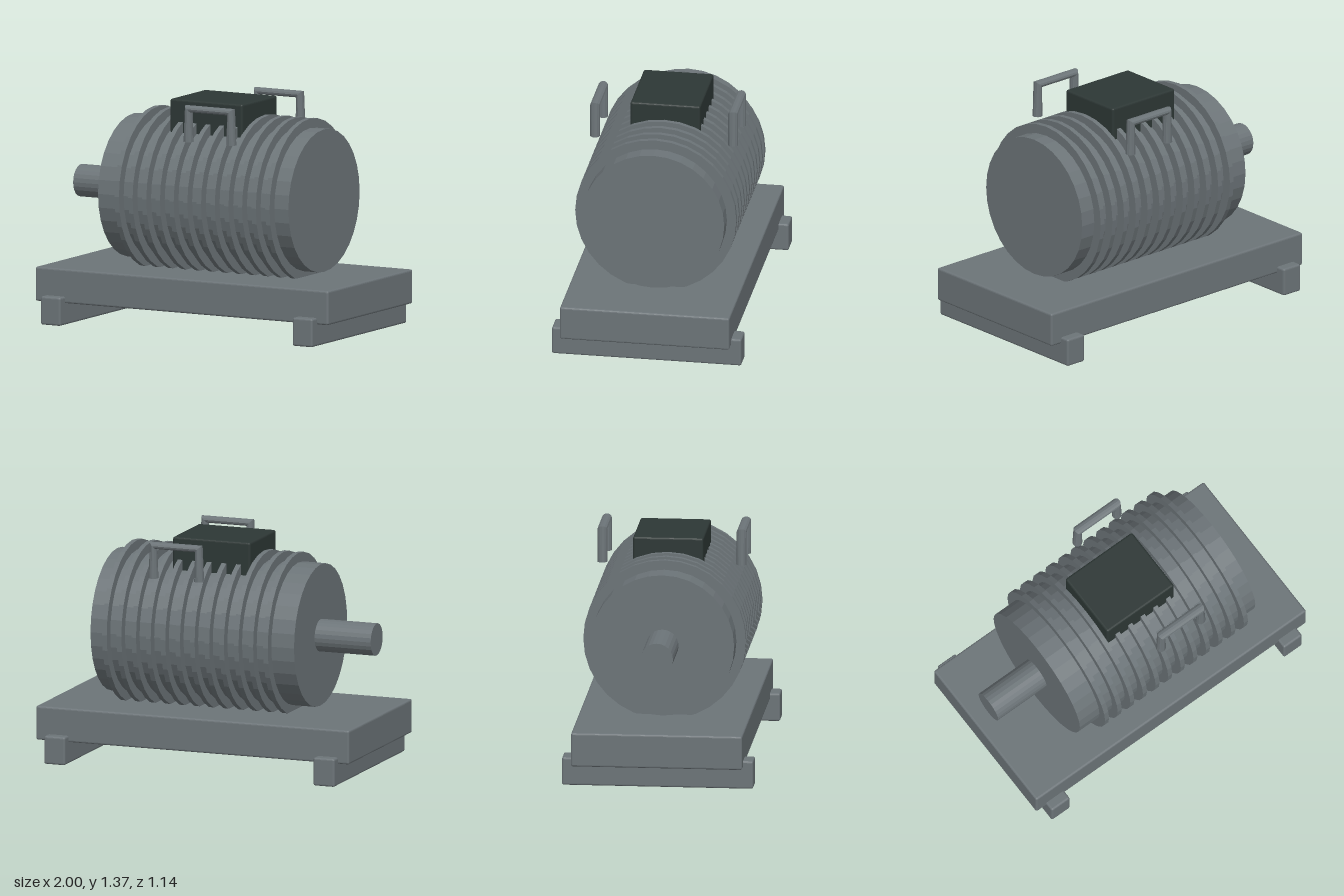
import * as THREE from 'three';
import { RoundedBoxGeometry } from 'three/addons/geometries/RoundedBoxGeometry.js';

const AXIS_Y = 0.79; // height of the motor axis

export function createModel() {
  const group = new THREE.Group();
  group.name = 'electricMotor';

  const steel = new THREE.MeshStandardMaterial({ color: 0x6c7478, flatShading: true });
  steel.name = 'steel grey';
  const dark = new THREE.MeshStandardMaterial({ color: 0x2d3735, flatShading: true });
  dark.name = 'dark green grey';

  function add(name, geometry, material, x, y, z) {
    const mesh = new THREE.Mesh(geometry, material);
    mesh.name = name;
    mesh.position.set(x, y, z);
    group.add(mesh);
    return mesh;
  }

  // Box with softened edges, given by its limits
  function box(name, x0, x1, y0, y1, halfZ, material) {
    const geometry = new RoundedBoxGeometry(x1 - x0, y1 - y0, halfZ * 2, 2, 0.012);
    add(name, geometry, material, (x0 + x1) / 2, (y0 + y1) / 2, 0);
  }

  // Cylinder lying along x on the motor axis
  function drum(name, x0, x1, radius, sides) {
    const geometry = new THREE.CylinderGeometry(radius, radius, x1 - x0, sides);
    geometry.rotateZ(Math.PI / 2);
    add(name, geometry, steel, (x0 + x1) / 2, AXIS_Y, 0);
  }

  // Base plate on two cross rails
  box('basePlate', -1, 1, 0.13, 0.335, 0.51, steel);
  box('leftRail', 0.79, 0.925, 0, 0.17, 0.57, steel);
  box('rightRail', -0.93, -0.795, 0, 0.17, 0.57, steel);

  // Motor housing, shaft and cooling fins
  drum('housing', -0.617, 0.683, 0.428, 32);
  drum('shaft', -0.975, -0.6, 0.097, 24);
  for (let i = 0; i < 12; i++) {
    const x = -0.457 + i * 0.0935;
    drum('coolingFin', x - 0.015, x + 0.015, 0.485, 32);
  }

  // Terminal box on top
  box('terminalBox', -0.25, 0.245, 1.15, 1.36, 0.21, dark);

  // Lifting handles
  const handle = handleGeometry();
  add('frontHandle', handle, steel, 0.14, 0, 0.415);
  add('backHandle', handle, steel, 0.14, 0, -0.415);

  return group;
}

// Round bar swept along a square arch; corner rings lie on the bisector
function handleGeometry() {
  const sides = 12, radius = 0.03;
  const d = Math.SQRT1_2;
  // x, y of the ring centre, then the in-plane direction of the ring
  const stations = [
    [-0.146, 1.147, -1, 0],
    [-0.144, 1.345, -d, d],
    [0.144, 1.345, d, d],
    [0.146, 1.147, 1, 0],
  ];
  const positions = [], index = [];
  for (const [x, y, nx, ny] of stations) {
    for (let j = 0; j < sides; j++) {
      const a = (j / sides) * Math.PI * 2;
      const c = Math.cos(a) * radius;
      positions.push(x + nx * c, y + ny * c, Math.sin(a) * radius);
    }
  }
  const last = (stations.length - 1) * sides;
  for (let j = 0; j < sides; j++) {
    const k = (j + 1) % sides;
    for (let i = 0; i < last; i += sides) {
      index.push(i + j, i + k, i + sides + j, i + k, i + sides + k, i + sides + j);
    }
    // End caps
    if (j > 0 && j < sides - 1) {
      index.push(0, k, j, last, last + j, last + k);
    }
  }
  const geometry = new THREE.BufferGeometry();
  geometry.setAttribute('position', new THREE.Float32BufferAttribute(positions, 3));
  geometry.setIndex(index);
  const flat = geometry.toNonIndexed();
  flat.computeVertexNormals();
  return flat;
}
